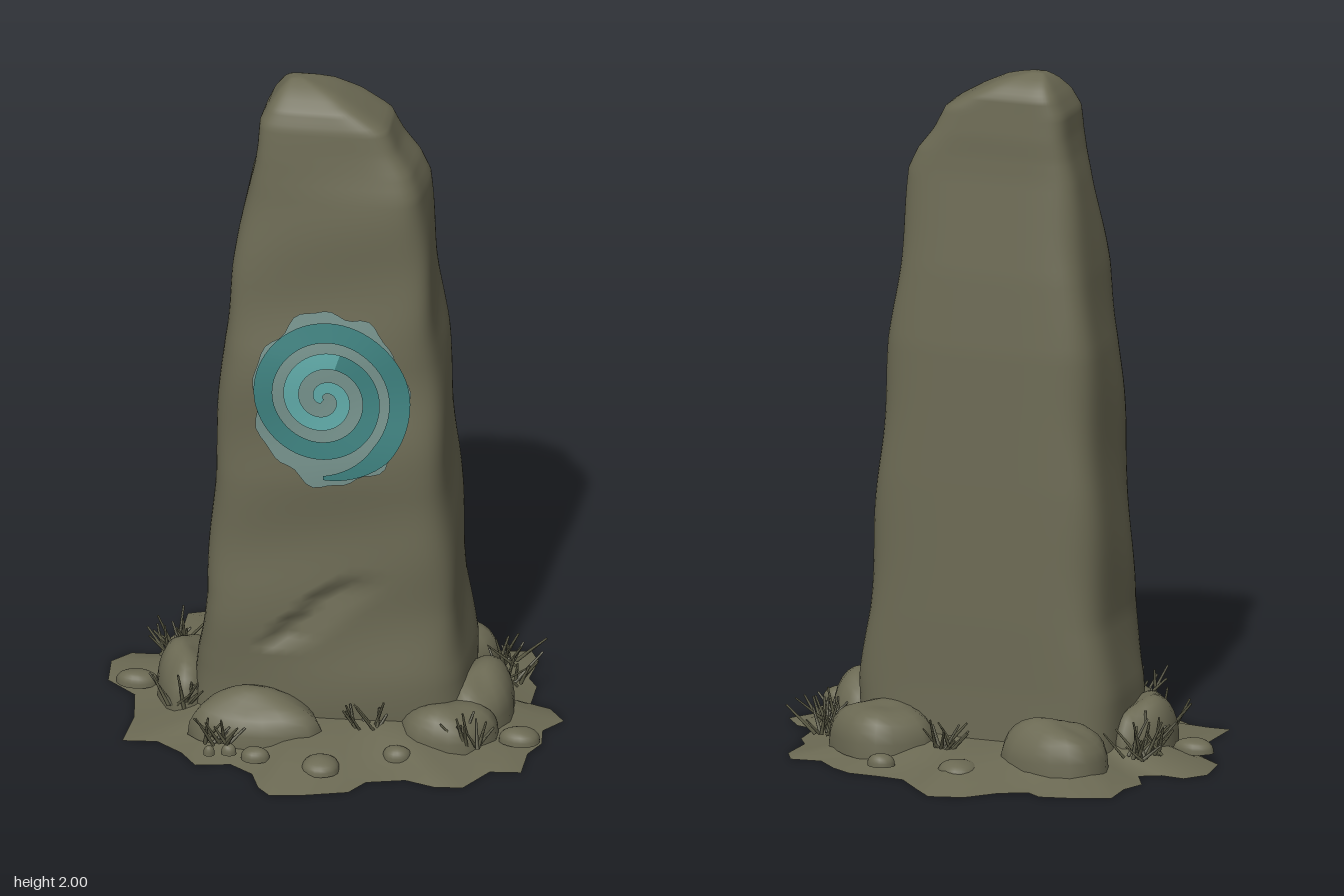
import * as THREE from 'three';
import { mergeVertices } from 'three/addons/utils/BufferGeometryUtils.js';

const { sin, cos, abs, max, min, PI } = Math;
const mat = (name, color, side = THREE.DoubleSide) => {
  const m = new THREE.MeshStandardMaterial({ color, side });
  m.name = name;
  return m;
};

let seed = 7;
const rand = () => (seed = (seed * 16807) % 2147483647) / 2147483647;

// Stone extents by height: y, xMin, xMax, zMin, zMax
const LEVELS = [
  [0.00, -0.39, 0.40, -0.22, 0.235], [0.20, -0.38, 0.40, -0.21, 0.235], [0.40, -0.35, 0.375, -0.205, 0.23],
  [0.80, -0.33, 0.35, -0.19, 0.225], [1.20, -0.305, 0.32, -0.17, 0.205], [1.42, -0.28, 0.295, -0.15, 0.185],
  [1.70, -0.235, 0.27, -0.115, 0.155], [1.76, -0.222, 0.245, -0.11, 0.145], [1.82, -0.212, 0.20, -0.107, 0.135],
  [1.89, -0.205, 0.165, -0.10, 0.125], [1.94, -0.18, 0.08, -0.095, 0.105], [1.98, -0.15, 0.00, -0.06, 0.06],
  [2.00, -0.125, -0.08, -0.02, 0.02],
];
function section(y) {
  let i = 0;
  while (i < LEVELS.length - 2 && LEVELS[i + 1][0] < y) i++;
  const [a, b] = [LEVELS[i], LEVELS[i + 1]];
  const t = min(1, max(0, (y - a[0]) / (b[0] - a[0])));
  const [, x0, x1, z0, z1] = a.map((v, k) => v + (b[k] - v) * t);
  return { cx: (x0 + x1) / 2, hx: (x1 - x0) / 2, cz: (z0 + z1) / 2, hz: (z1 - z0) / 2 };
}
const POWER = 5;

// Weathering of the front face, with a slanted chip low down
function relief(x, y) {
  const d = (x + 0.12) - (y - 0.33);
  const chip = d > 0 && d < 0.14 && y > 0.3 && y < 0.52 ? 0.028 * (1 - d / 0.14) * min(1, (0.52 - y) / 0.05) : 0;
  return 0.006 * sin(8 * y + 4 * x) + 0.004 * sin(17 * y - 6 * x) - chip;
}
function frontZ(x, y) {
  const s = section(y);
  return s.cz + s.hz * max(0, 1 - abs((x - s.cx) / s.hx) ** POWER) ** (1 / POWER) + relief(x, y);
}

// Surface through a list of equal point rings
function loft(rings, closed = true) {
  const n = rings[0].length, idx = [];
  for (let i = 0; i < rings.length - 1; i++)
    for (let j = 0; j < (closed ? n : n - 1); j++) {
      const a = i * n + j, b = i * n + (j + 1) % n;
      idx.push(a, a + n, b, b, a + n, b + n);
    }
  const g = new THREE.BufferGeometry();
  g.setAttribute('position', new THREE.Float32BufferAttribute(rings.flat(2), 3));
  g.setIndex(idx);
  g.computeVertexNormals();
  return g;
}

function stoneGeometry() {
  const rings = [], side = 20;
  const corners = [[1, -1], [1, 1], [-1, 1], [-1, -1]];
  for (let i = 0; i <= 90; i++) {
    const y = i < 70 ? i * 0.025 : 1.75 + (i - 70) * 0.0125;
    const s = section(y), ring = [], fade = min(1, (2 - y) / 0.3);
    corners.forEach((c, k) => {
      const d = corners[(k + 1) % 4];
      for (let j = 0; j < side; j++) {
        const t = j / side, u = c[0] + (d[0] - c[0]) * t, v = c[1] + (d[1] - c[1]) * t;
        const r = (abs(u) ** POWER + abs(v) ** POWER) ** (-1 / POWER);
        const x = s.cx + s.hx * u * r + fade * 0.005 * u * sin(13 * y + 2 * v);
        const z = s.cz + s.hz * v * r + fade * (v > 0 ? v * relief(x, y) : 0);
        ring.push([x, y, z]);
      }
    });
    rings.push(ring);
  }
  rings.push(rings[90].map(() => [-0.1, 2, 0]));
  return loft(rings);
}

// Ragged edge of the earth, x and z
const EDGE = [
  0, -.635, .06, -.57, .13, -.49, .2, -.48, .3, -.475, .36, -.44, .42, -.38, .51, -.39, .54, -.33, .53, -.22,
  .56, -.17, .56, -.06, .62, -.04, .67, .03, .62, .1, .63, .18, .6, .25, .6, .37, .51, .38, .45, .49,
  .37, .5, .28, .47, .17, .5, .13, .57, 0, .61, -.09, .625, -.13, .58, -.16, .5, -.23, .45, -.33, .47,
  -.38, .4, -.46, .34, -.56, .35, -.55, .2, -.57, .06, -.66, -.02, -.67, -.14, -.62, -.2, -.55, -.19, -.49, -.22,
  -.53, -.3, -.5, -.37, -.5, -.47, -.4, -.51, -.3, -.53, -.26, -.5, -.18, -.53, -.1, -.61,
];
function groundGeometry() {
  return loft([1, 0.9, 0.78, 0.66, 0.5, 0.3, 0].map((s) => {
    const ring = [];
    for (let i = 0; i < EDGE.length; i += 2) {
      const x = EDGE[i] * s, z = EDGE[i + 1] * s;
      const lump = s < 1 ? 0.008 * sin(14 * x + 2) * cos(13 * z) : 0;
      ring.push([x, max(0, 0.065 * min(1, (1 - s) * 2.2) + lump * s), z]);
    }
    return ring;
  }));
}

// Half-buried boulder or pebble
function rockGeometry(rx, h, rz, phase, rough) {
  let g = new THREE.SphereGeometry(1, 18, 8, 0, PI * 2, 0, PI / 2);
  g.deleteAttribute('uv');
  g.deleteAttribute('normal');
  g = mergeVertices(g, 1e-4);
  const p = g.attributes.position;
  for (let i = 0; i < p.count; i++) {
    const [x, y, z] = [p.getX(i), p.getY(i), p.getZ(i)];
    const k = 1 + rough * sin(3 * x + phase) * cos(4 * z + 2 * phase);
    p.setXYZ(i, x * k * rx, y ** 0.75 * k * h, z * k * rz);
  }
  g.computeVertexNormals();
  return g;
}

// Carving pieces that follow the stone face
const onFace = (x, y, off) => [x, y, frontZ(x, y) + off];
function haloGeometry() {
  const rings = [];
  for (let i = 0; i <= 10; i++) {
    const ring = [];
    for (let j = 0; j < 64; j++) {
      const a = j / 64 * PI * 2, s = i / 10;
      const w = 1 + 0.035 * sin(7 * a + 1) + 0.025 * sin(13 * a);
      ring.push(onFace(0.02 + 0.222 * s * w * cos(a), 1.075 + 0.268 * s * w * sin(a), 0.005));
    }
    rings.push(ring);
  }
  return loft(rings);
}
function spiralGeometry(t0, t1) {
  const rings = [], n = 100;
  for (let i = 0; i <= n; i++) {
    const t = t0 + (t1 - t0) * i / n, a = -PI / 2 + t * PI * 2;
    const r = 0.238 - 0.082 * t;
    const w = (0.031 - 0.005 * t) * min(1, 0.2 + t * 6);
    rings.push([r + w, r, max(0, r - w)].map((q) => onFace(0.005 + q * cos(a), 1.08 + q * 1.03 * sin(a), 0.01)));
  }
  return loft(rings, false);
}

export function createModel() {
  const group = new THREE.Group();
  const stone = mat('stone', 0x6b6953);
  const grass = mat('grass', 0x5f5e48);
  const halo = mat('pale glow', 0x74908a);
  const teal = mat('deep teal', 0x3d807e);
  const bright = mat('bright teal', 0x5fa9a7);
  const add = (name, geo, m, x = 0, y = 0, z = 0, parent = group) => {
    const mesh = new THREE.Mesh(geo, m);
    mesh.name = name;
    mesh.position.set(x, y, z);
    parent.add(mesh);
    return mesh;
  };

  add('standingStone', stoneGeometry(), stone);
  add('ground', groundGeometry(), stone);

  // Spiral carving
  add('carvingHalo', haloGeometry(), halo);
  add('outerSpiral', spiralGeometry(0, 1.45), teal);
  add('innerSpiral', spiralGeometry(1.45, 2.9), bright);

  // Boulders round the foot: x, z, half width, height, half depth
  [
    [-0.26, -0.29, 0.16, 0.14, 0.12], [0.28, -0.25, 0.15, 0.14, 0.13], [-0.42, 0.04, 0.085, 0.15, 0.16],
    [-0.18, 0.28, 0.2, 0.13, 0.11], [0.43, 0.05, 0.1, 0.15, 0.17], [0.36, 0.22, 0.14, 0.11, 0.12],
  ].forEach(([x, z, rx, h, rz], i) => add('boulder', rockGeometry(rx, h, rz, i * 1.7, 0.1), stone, x, 0.02, z));

  // Pebbles: x, z, half width, half depth
  [
    [-0.02, -0.44, 0.06, 0.06], [0.22, -0.43, 0.04, 0.033], [-0.57, 0.02, 0.06, 0.04], [0.57, 0.21, 0.06, 0.045],
    [0.24, 0.37, 0.042, 0.035], [0.035, 0.475, 0.056, 0.056], [-0.16, 0.44, 0.042, 0.032],
    [-0.24, 0.42, 0.022, 0.018], [-0.295, 0.435, 0.016, 0.014],
  ].forEach(([x, z, rx, rz], i) => add('pebble', rockGeometry(rx, 0.025 + rx * 0.25, rz, i, 0.04), stone, x, 0.02, z));

  // Grass tufts
  const blade = new THREE.CylinderGeometry(0.003, 0.006, 1, 4).translate(0, 0.5, 0);
  [
    [0.07, -0.31], [0.46, -0.23], [0.49, -0.11], [-0.46, -0.18], [-0.49, -0.1],
    [-0.42, 0.18], [-0.28, 0.4], [0.14, 0.26], [0.44, 0.31],
  ].forEach(([x, z]) => {
    const tuft = new THREE.Group();
    tuft.name = 'grassTuft';
    tuft.position.set(x, 0.04, z);
    for (let i = 0; i < 12; i++) {
      const m = add('blade', blade, grass, (rand() - 0.5) * 0.07, 0, (rand() - 0.5) * 0.04, tuft);
      m.rotation.set((rand() - 0.5) * 1.3, 0, (rand() - 0.5) * 1.7);
      m.scale.y = 0.06 + rand() * 0.065;
    }
    group.add(tuft);
  });
  return group;
}
